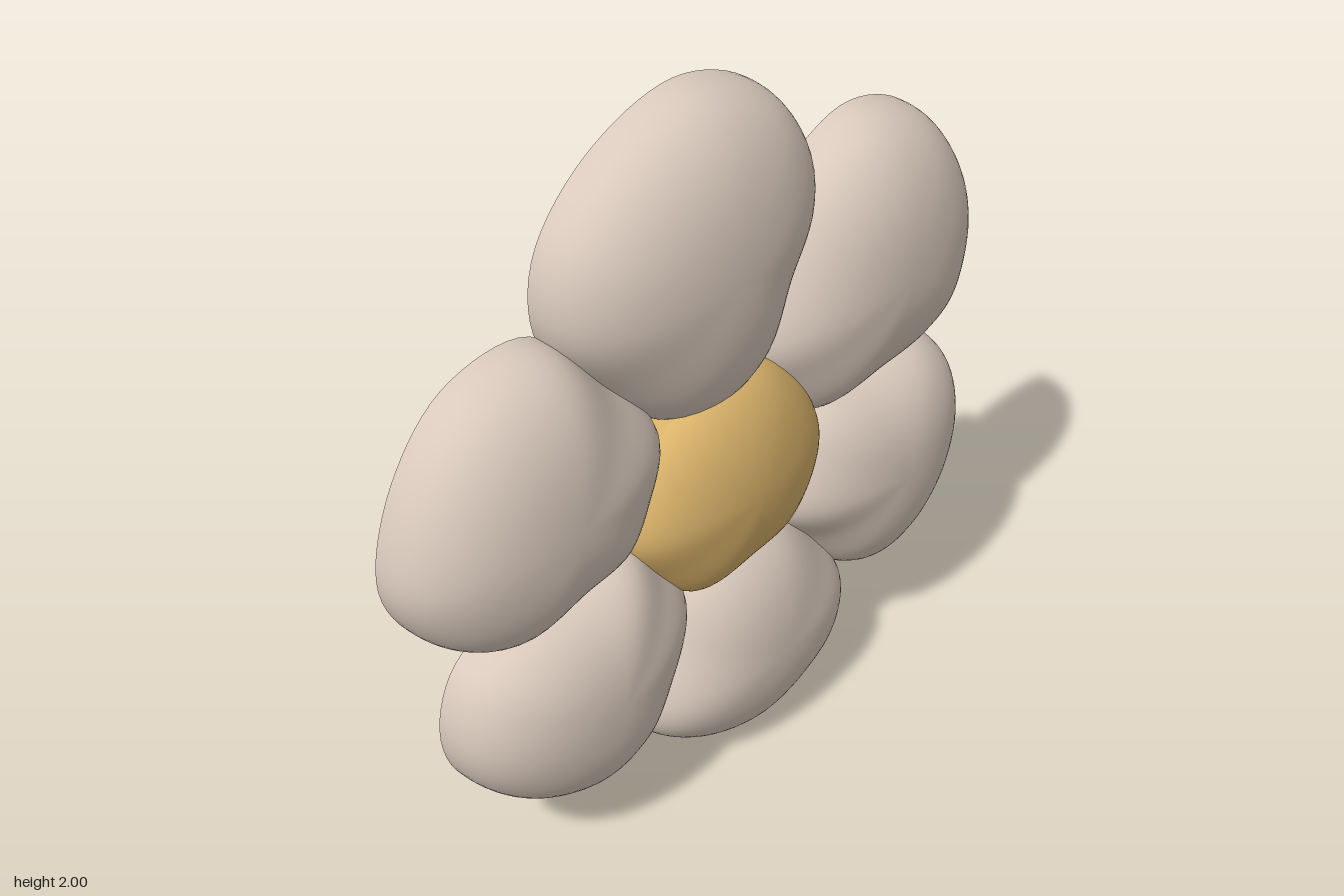
import * as THREE from 'three';

const petalMat = new THREE.MeshStandardMaterial({ color: 0xd9c9bc });
petalMat.name = 'petal cream';
const goldMat = new THREE.MeshStandardMaterial({ color: 0xd9b26a });
goldMat.name = 'centre gold';

const SIDES = 72, RINGS = 20, BACK = -0.125, FRONT = 0.125;

// Pillow shape: rings [scale, z] of a closed outline, a front pole and a flat back
function pillow(name, material, outline, center, rings) {
  const curve = new THREE.CatmullRomCurve3(
    outline.map(([x, y]) => new THREE.Vector3(x, y, 0)).reverse(), true, 'centripetal');
  const rim = curve.getSpacedPoints(SIDES).slice(0, SIDES);
  const [cx, cy] = center;
  const pos = [], index = [];
  const addRing = ([s, z]) => rim.forEach(p => pos.push(cx + (p.x - cx) * s, cy + (p.y - cy) * s, z));

  rings.forEach(addRing);
  const pole = pos.length / 3;
  pos.push(cx, cy, FRONT);
  addRing(rings[0]); // separate back rim keeps the edge sharp
  const backPole = pos.length / 3;
  pos.push(cx, cy, rings[0][1]);

  const last = (rings.length - 1) * SIDES;
  for (let i = 0; i < SIDES; i++) {
    const j = (i + 1) % SIDES;
    for (let r = 0; r < last; r += SIDES) {
      index.push(r + i, r + j, r + SIDES + j, r + i, r + SIDES + j, r + SIDES + i);
    }
    index.push(last + i, last + j, pole);
    index.push(pole + 1 + j, pole + 1 + i, backPole);
  }
  const geo = new THREE.BufferGeometry();
  geo.setAttribute('position', new THREE.Float32BufferAttribute(pos, 3));
  geo.setIndex(index);
  geo.computeVertexNormals();
  const mesh = new THREE.Mesh(geo, material);
  mesh.name = name;
  return mesh;
}

// Rounded dome profile from the rim at z = base up to the front
function dome(base, power) {
  return Array.from({ length: RINGS }, (_, k) => {
    const a = (k / RINGS) * Math.PI / 2;
    return [Math.cos(a) ** (2 / power), base + (FRONT - base) * Math.sin(a) ** (2 / power)];
  });
}

// Petal outlines, clockwise from the inner end
const petals = {
  topPetal: { center: [-0.07, 1.58], outline: [
    [0, 1.12], [-0.17, 1.15], [-0.36, 1.33], [-0.5, 1.52], [-0.49, 1.72], [-0.33, 1.9],
    [-0.05, 2], [0.2, 1.92], [0.33, 1.75], [0.34, 1.6], [0.25, 1.42], [0.15, 1.2]] },
  upperLeftPetal: { center: [0.58, 1.32], outline: [
    [0.2, 1.08], [0.14, 1.2], [0.2, 1.42], [0.33, 1.62], [0.55, 1.73], [0.78, 1.67],
    [0.94, 1.48], [0.985, 1.28], [0.92, 1.06], [0.78, 0.975], [0.55, 0.94], [0.33, 0.93]] },
  lowerLeftPetal: { center: [0.62, 0.67], outline: [
    [0.25, 0.85], [0.33, 0.96], [0.55, 0.985], [0.8, 0.985], [0.94, 0.88], [0.99, 0.7],
    [0.93, 0.48], [0.79, 0.33], [0.62, 0.28], [0.48, 0.34], [0.35, 0.5], [0.2, 0.67]] },
  bottomPetal: { center: [0.1, 0.34], outline: [
    [0.04, 0.72], [0.22, 0.69], [0.4, 0.5], [0.51, 0.33], [0.47, 0.17], [0.3, 0.05],
    [0.09, 0], [-0.12, 0.06], [-0.26, 0.18], [-0.28, 0.27], [-0.22, 0.45], [-0.13, 0.64]] },
  lowerRightPetal: { center: [-0.5, 0.53], outline: [
    [-0.22, 0.78], [-0.12, 0.63], [-0.19, 0.4], [-0.29, 0.24], [-0.48, 0.17], [-0.7, 0.25],
    [-0.85, 0.42], [-0.88, 0.57], [-0.83, 0.72], [-0.72, 0.8], [-0.53, 0.86], [-0.33, 0.9]] },
  upperRightPetal: { center: [-0.6, 1.14], outline: [
    [-0.24, 1.02], [-0.33, 0.87], [-0.53, 0.82], [-0.73, 0.78], [-0.9, 0.88], [-1, 1.07],
    [-0.95, 1.3], [-0.8, 1.49], [-0.62, 1.545], [-0.5, 1.52], [-0.36, 1.37], [-0.2, 1.18]] },
};

// Rounded, slightly angular flower centre
const centreOutline = [
  [-0.2, 1.16], [-0.02, 1.24], [0.13, 1.22], [0.27, 1.1], [0.35, 0.93], [0.32, 0.79],
  [0.22, 0.67], [0.05, 0.63], [-0.13, 0.62], [-0.26, 0.75], [-0.34, 0.88], [-0.3, 1.03]];

export function createModel() {
  const flower = new THREE.Group();
  flower.name = 'flower';
  for (const [name, { center, outline }] of Object.entries(petals)) {
    flower.add(pillow(name, petalMat, outline, center, dome(BACK, 2.3)));
  }
  // The centre tapers to the back, where it lies just proud of the petals
  const rings = [[0.94, BACK - 0.002], ...dome(-0.03, 2)];
  flower.add(pillow('flowerCentre', goldMat, centreOutline, [0.01, 0.93], rings));
  return flower;
}
